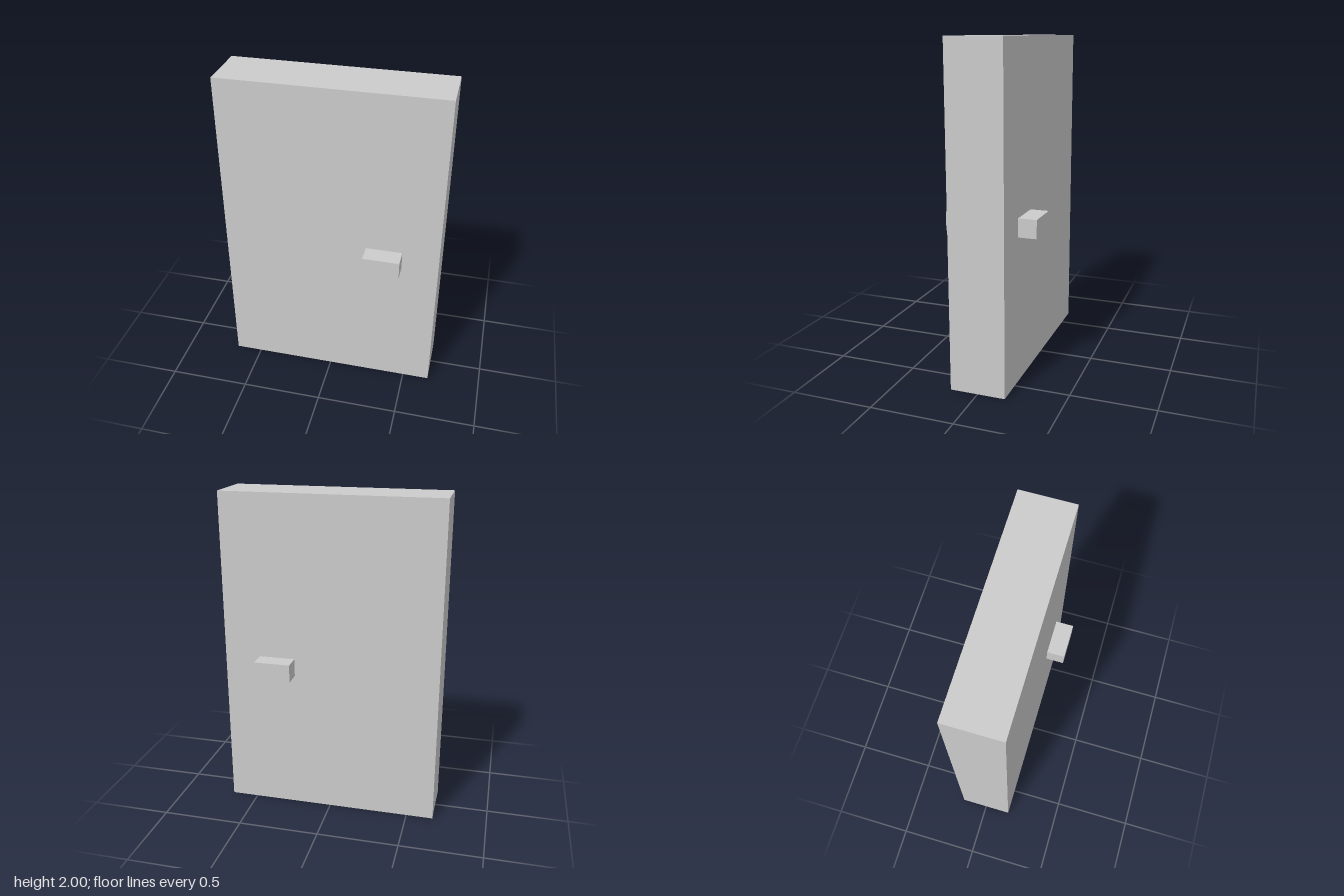
import * as THREE from 'three';

export function createModel() {
  const model = new THREE.Group();
  model.name = 'door';
  const material = new THREE.MeshStandardMaterial({ color: 0xcccccc, flatShading: true });

  const addBox = (name, size, position) => {
    const mesh = new THREE.Mesh(new THREE.BoxGeometry(...size), material);
    mesh.name = name;
    mesh.position.set(...position);
    model.add(mesh);
  };

  const width = 4 / 3, height = 2, depth = 1 / 3;
  const handleWidth = 2 / 9, handleHeight = 1 / 9, handleDepth = 1 / 9;

  // Door slab
  addBox('doorPanel', [width, height, depth], [0, height / 2, 0]);

  // One handle on each face, top edge at mid-height
  for (const [name, side] of [['frontHandle', 1], ['backHandle', -1]]) {
    addBox(name, [handleWidth, handleHeight, handleDepth],
      [1 / 3, 1 - handleHeight / 2, side * (depth + handleDepth) / 2]);
  }

  return model;
}
